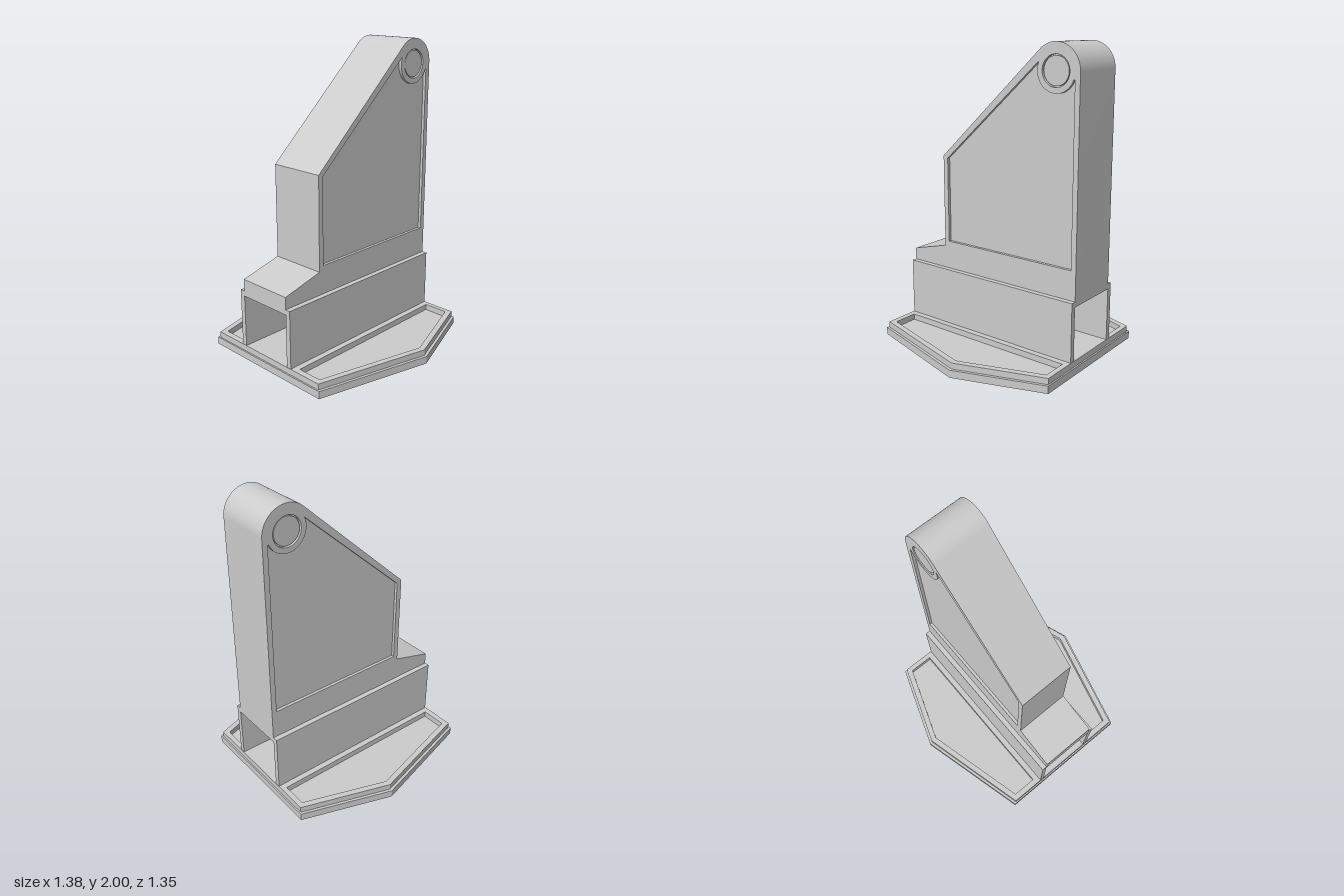
import * as THREE from 'three';
import { toCreasedNormals } from 'three/addons/utils/BufferGeometryUtils.js';

const material = new THREE.MeshStandardMaterial({ color: 0xcccccc });

const PIVOT = { z: -0.5, y: 1.835, r: 0.165 };
const HALF = 0.195;    // half width of the tower
const RECESS = 0.02;   // depth of the side panels

const polygon = pts => new THREE.Shape(pts.map(([a, b]) => new THREE.Vector2(a, b)));

function extrude(shape, depth) {
  const g = new THREE.ExtrudeGeometry(shape, { depth, bevelEnabled: false, curveSegments: 40 });
  return toCreasedNormals(g, 0.5);
}

// Plan shape (x, z) extruded from y0 up to y1
const slab = (shape, y0, y1) => extrude(shape, y1 - y0).rotateX(Math.PI / 2).translate(0, y1, 0);

// Side profile (z, y) extruded from x0 to x1
const sideways = (shape, x0, x1) => extrude(shape, x1 - x0).rotateY(-Math.PI / 2).translate(x1, 0, 0);

const hexagon = (corner, mid, z) => polygon([
  [-corner, -z], [corner, -z], [mid, -0.09], [corner, z], [-corner, z], [-mid, -0.09],
]);

// Tower outline with the rounded head and the stepped front foot
function towerProfile() {
  const s = new THREE.Shape();
  s.moveTo(-0.665, 0.44);
  s.lineTo(0.665, 0.44);
  s.lineTo(0.665, 0.555);
  s.lineTo(0.38, 0.63);
  s.lineTo(0.38, 1.25);
  s.absarc(PIVOT.z, PIVOT.y, PIVOT.r, 0.828, Math.PI, false);
  s.closePath();
  return s;
}

// Recessed side panel, cut round the pivot boss
function panelOutline() {
  const p = new THREE.Path();
  p.moveTo(-0.63, 0.665);
  p.lineTo(0.345, 0.665);
  p.lineTo(0.345, 1.235);
  p.absarc(PIVOT.z, PIVOT.y, 0.13, 0.41, -2.78, true);
  p.lineTo(-0.63, 1.79);
  p.closePath();
  return p;
}

export function createModel() {
  const group = new THREE.Group();
  const add = (name, geometry) => {
    const mesh = new THREE.Mesh(geometry, material);
    mesh.name = name;
    group.add(mesh);
  };

  // Base plate and its stepped top with two shallow trays
  add('basePlate', slab(hexagon(0.485, 0.69, 0.677), 0, 0.05));
  const rim = hexagon(0.47, 0.67, 0.667);
  for (const s of [-1, 1]) {
    rim.holes.push(polygon([
      [s * 0.27, -0.632], [s * 0.44, -0.632], [s * 0.63, -0.09], [s * 0.44, 0.627], [s * 0.27, 0.627],
    ]));
  }
  add('baseRim', slab(rim, 0.05, 0.09));

  // Tower core
  add('towerCore', sideways(towerProfile(), -HALF + RECESS, HALF - RECESS));

  for (const s of [-1, 1]) {
    const side = s > 0 ? 'left' : 'right';

    // Side frame round the panel and the pivot socket
    const frame = towerProfile();
    frame.holes.push(panelOutline());
    frame.holes.push(new THREE.Path().absarc(PIVOT.z, PIVOT.y, 0.095, 0, Math.PI * 2, false));
    const inner = s * (HALF - RECESS), outer = s * HALF;
    add(side + 'TowerFrame', sideways(frame, Math.min(inner, outer), Math.max(inner, outer)));

    // Pivot pin end in its socket
    const pin = new THREE.CylinderGeometry(0.087, 0.087, RECESS, 48).rotateZ(Math.PI / 2);
    add(side + 'PivotPin', pin.translate(s * (HALF - 0.015), PIVOT.y, PIVOT.z));

    // Supporting wall of the open channel
    const wall = new THREE.BoxGeometry(0.035, 0.385, 1.33);
    add(side + 'ChannelWall', wall.translate(s * 0.2125, 0.2825, 0));
  }

  return group;
}
